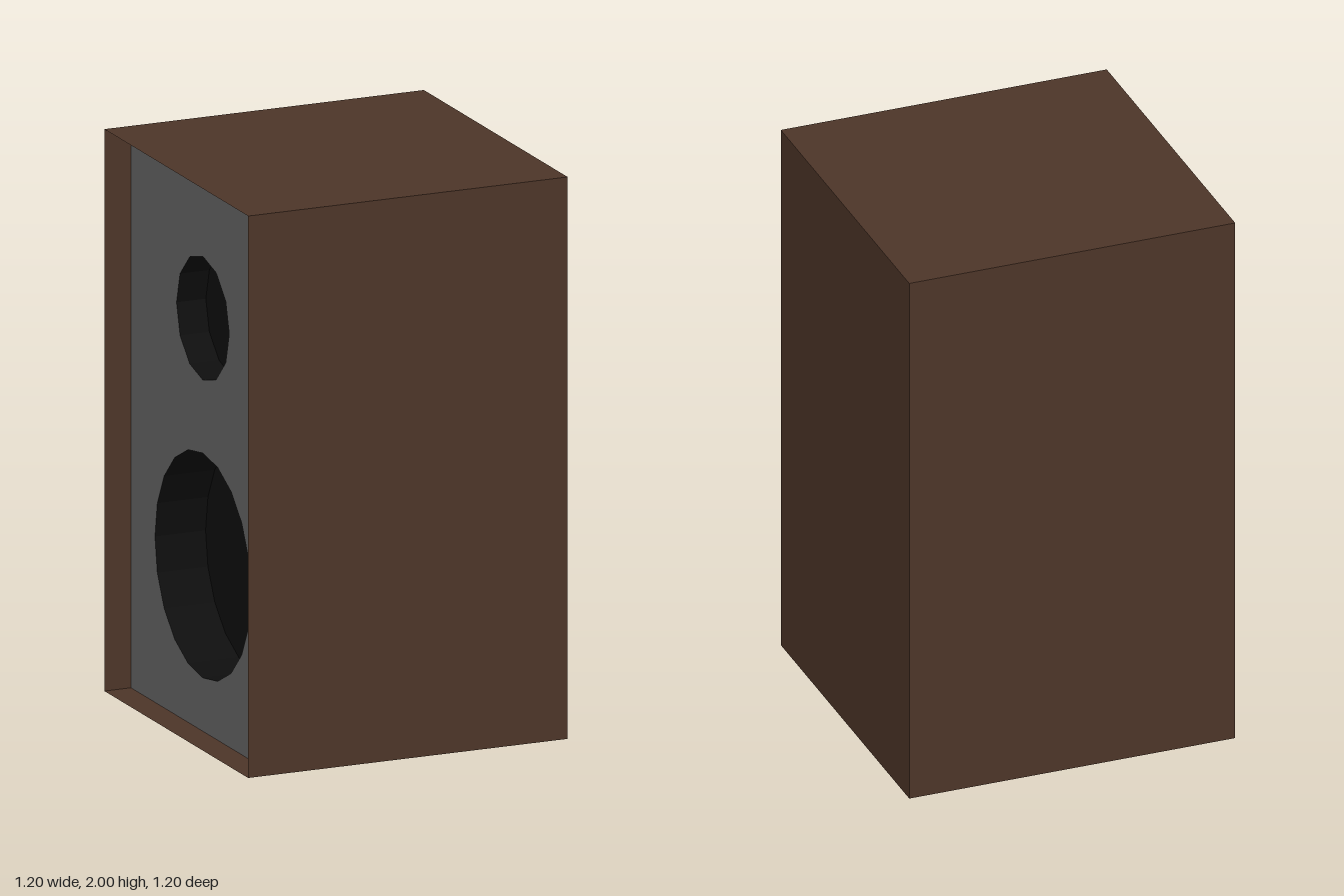
import * as THREE from 'three';

const W = 1.2, H = 2, BAFFLE = 0.5;

function material(color) {
  return new THREE.MeshStandardMaterial({ color, side: THREE.DoubleSide, flatShading: true });
}

function addMesh(parent, name, geometry, mat) {
  const mesh = new THREE.Mesh(geometry, mat);
  mesh.name = name;
  parent.add(mesh);
  return mesh;
}

export function createModel() {
  const model = new THREE.Group();
  model.name = 'loudspeaker';
  const wood = material(0x4d3528);
  const grey = material(0x666666);
  const black = material(0x0e0e0e);

  // built facing local +z, then turned so the drivers face -x
  const body = new THREE.Group();
  body.name = 'body';
  body.rotation.y = -Math.PI / 2;
  model.add(body);

  // thin cabinet walls, open on the driver side
  const walls = [
    ['topWall', W, [0, H, 0], [-Math.PI / 2, 0]],
    ['bottomWall', W, [0, 0, 0], [Math.PI / 2, 0]],
    ['leftWall', H, [W / 2, H / 2, 0], [0, Math.PI / 2]],
    ['rightWall', H, [-W / 2, H / 2, 0], [0, -Math.PI / 2]],
    ['rearWall', H, [0, H / 2, -W / 2], [0, Math.PI]],
  ];
  for (const [name, height, position, [rx, ry]] of walls) {
    const wall = addMesh(body, name, new THREE.PlaneGeometry(W, height), wood);
    wall.position.set(...position);
    wall.rotation.set(rx, ry, 0);
  }

  // recessed baffle with a round opening for each driver
  const drivers = [
    { name: 'tweeter', y: 1.47, radius: 0.22, depth: 0.11, sides: 12 },
    { name: 'woofer', y: 0.59, radius: 0.4, depth: 0.19, sides: 20 },
  ];
  const panel = new THREE.Shape([
    new THREE.Vector2(-W / 2, 0), new THREE.Vector2(W / 2, 0),
    new THREE.Vector2(W / 2, H), new THREE.Vector2(-W / 2, H),
  ]);

  for (const { name, y, radius, depth, sides } of drivers) {
    const rim = [];
    for (let i = 0; i < sides; i++) {
      const a = (i / sides) * Math.PI * 2;
      rim.push(new THREE.Vector2(radius * Math.cos(a), y + radius * Math.sin(a)));
    }
    panel.holes.push(new THREE.Path(rim));

    // dark well behind the opening: side wall and flat floor
    const driver = new THREE.Group();
    driver.name = name;
    driver.position.set(0, y, BAFFLE);
    body.add(driver);
    const side = new THREE.CylinderGeometry(radius, radius, depth, sides, 1, true, Math.PI / 2);
    side.rotateX(Math.PI / 2).translate(0, 0, -depth / 2);
    addMesh(driver, name + 'Surround', side, black);
    const floor = new THREE.CircleGeometry(radius, sides).translate(0, 0, -depth);
    addMesh(driver, name + 'Diaphragm', floor, black);
  }
  addMesh(body, 'baffle', new THREE.ShapeGeometry(panel), grey).position.z = BAFFLE;

  return model;
}
